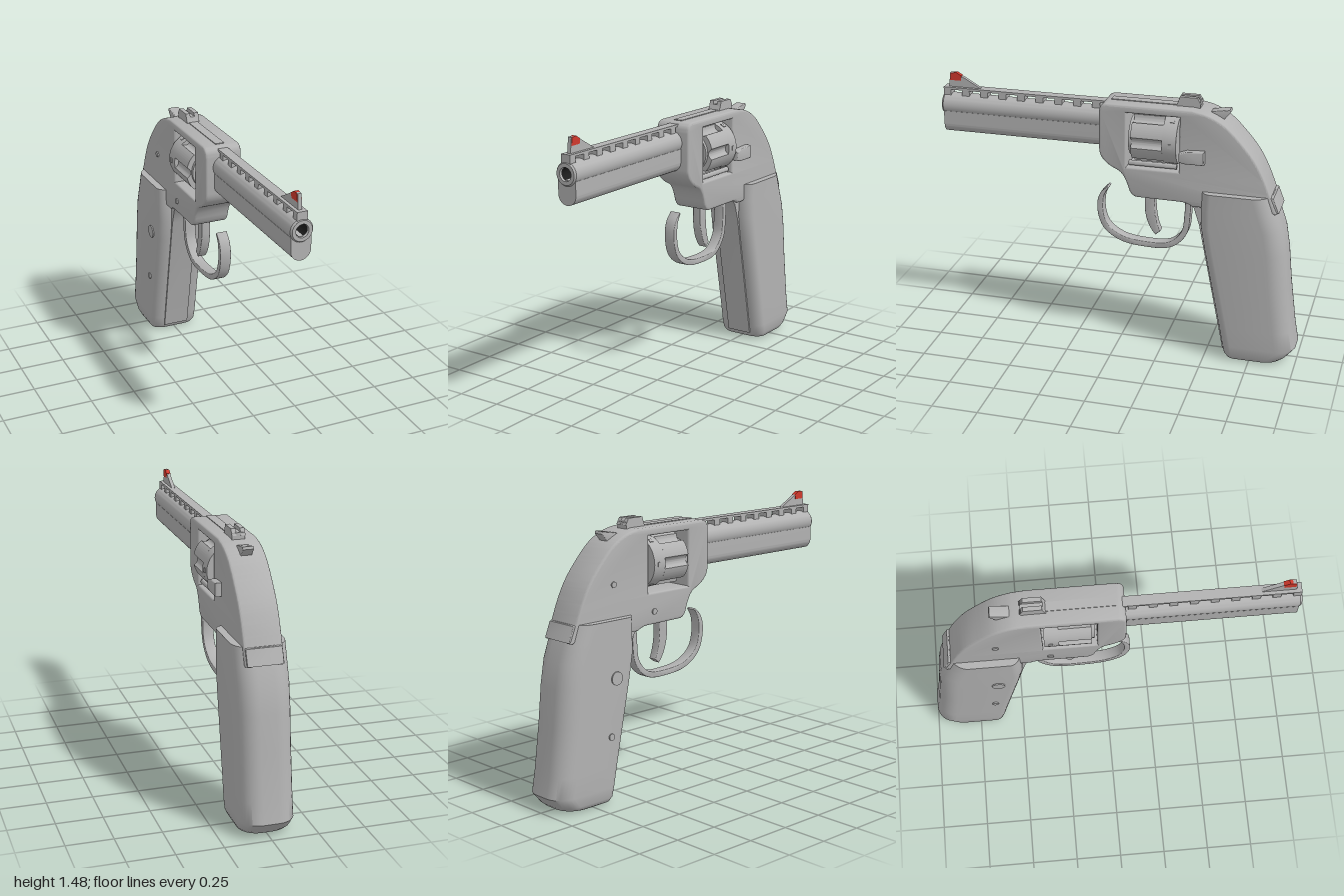
import * as THREE from 'three';
import { toCreasedNormals } from 'three/addons/utils/BufferGeometryUtils.js';

const steel = new THREE.MeshStandardMaterial({ color: 0xb2b2b2 });
steel.name = 'grey steel';
const red = new THREE.MeshStandardMaterial({ color: 0xd0382c });
red.name = 'sight red';
const dark = new THREE.MeshStandardMaterial({ color: 0x1c1c1c });
dark.name = 'bore black';

export function createModel() {
  const model = new THREE.Group();
  model.name = 'revolver';

  const add = (name, geo, mat = steel, crease = 0.6) => {
    const mesh = new THREE.Mesh(toCreasedNormals(geo, crease), mat);
    mesh.name = name;
    model.add(mesh);
    return mesh;
  };
  const shapeOf = (pts) => new THREE.Shape(pts.map(([z, y]) => new THREE.Vector2(z, y)));

  // Side profile in (z, y), extruded across x and centred on it
  const slab = (shape, width, bevel = 0) => {
    const geo = new THREE.ExtrudeGeometry(shape, {
      depth: width - 2 * bevel, bevelEnabled: bevel > 0, bevelSize: bevel,
      bevelThickness: bevel, bevelOffset: -bevel, bevelSegments: 3, curveSegments: 10,
    });
    geo.translate(0, 0, bevel - width / 2);
    return geo.rotateY(-Math.PI / 2);
  };
  const box = (name, w, h, d, x, y, z) =>
    add(name, new THREE.BoxGeometry(w, h, d).translate(x, y, z));
  // Cylinder lying along z
  const rod = (name, r, z0, z1, x, y, sides = 24) =>
    add(name, new THREE.CylinderGeometry(r, r, z1 - z0, sides)
      .rotateX(Math.PI / 2).translate(x, y, (z0 + z1) / 2));

  // Frame with the cylinder window cut through
  const frame = new THREE.Shape();
  frame.moveTo(0.05, 1.415);
  frame.lineTo(-0.4, 1.415);
  frame.splineThru([[-0.49, 1.395], [-0.58, 1.345], [-0.67, 1.255], [-0.74, 1.165],
    [-0.79, 1.07], [-0.836, 0.955], [-0.866, 0.885]].map((p) => new THREE.Vector2(...p)));
  frame.lineTo(-0.82, 0.88);
  frame.lineTo(-0.41, 0.88);
  frame.quadraticCurveTo(-0.38, 0.9, -0.34, 0.9);
  frame.lineTo(-0.11, 0.902);
  frame.quadraticCurveTo(-0.08, 0.905, -0.065, 0.94);
  frame.quadraticCurveTo(-0.04, 1.03, 0, 1.048);
  frame.quadraticCurveTo(0.1, 1.09, 0.1, 1.16);
  frame.lineTo(0.1, 1.36);
  frame.quadraticCurveTo(0.1, 1.415, 0.05, 1.415);
  frame.holes.push(new THREE.Path([[-0.05, 1.07], [-0.335, 1.07], [-0.335, 1.372],
    [-0.05, 1.372]].map((p) => new THREE.Vector2(...p))));
  add('frame', slab(frame, 0.204, 0.012));

  // Fluted cylinder: scalloped front part and a plain rear ring
  const R = 0.135, axisY = 1.222;
  const outline = [];
  for (let i = 0; i < 144; i++) {
    const a = (i / 144) * Math.PI * 2;
    const off = ((a + Math.PI / 6) % (Math.PI / 3)) - Math.PI / 6;
    const cut = Math.max(0, 1 - (off / 0.2) ** 2);
    const r = R - 0.024 * Math.sqrt(cut);
    outline.push(new THREE.Vector2(Math.cos(a) * r, Math.sin(a) * r));
  }
  add('flutedCylinder', new THREE.ExtrudeGeometry(new THREE.Shape(outline),
    { depth: 0.17, bevelEnabled: false }).translate(0, axisY, -0.25));
  rod('cylinderRear', R, -0.325, -0.249, 0, axisY, 48);
  rod('cylinderFrontCollar', R - 0.028, -0.081, -0.062, 0, axisY, 36);
  rod('cylinderPin', 0.03, -0.34, -0.045, 0, axisY);
  rod('craneRod', 0.014, -0.32, -0.06, 0.075, 1.09, 12);
  for (let i = 0; i < 6; i++) {
    const a = (i * Math.PI) / 3;
    const notch = box('stopNotch', 0.006, 0.024, 0.022, 0, 0, 0);
    notch.position.set(Math.cos(a) * R, axisY + Math.sin(a) * R, -0.292);
    notch.rotation.z = a;
  }

  // Cylinder release latch on the left side
  add('latch', slab(shapeOf([[-0.34, 1.14], [-0.34, 1.185], [-0.38, 1.2], [-0.475, 1.205],
    [-0.475, 1.132], [-0.37, 1.132]]), 0.045, 0.006).translate(0.114, 0, 0));

  // Barrel tube, dark bore and full-length underlug
  const lathe = (pts) => new THREE.LatheGeometry(pts.map((p) => new THREE.Vector2(...p)), 40)
    .rotateX(Math.PI / 2).translate(0, 1.306, 0);
  add('barrel', lathe([[0.061, 0.05], [0.061, 0.99], [0.054, 1], [0.035, 1], [0.033, 0.985]]));
  add('bore', lathe([[0.033, 0.988], [0.033, 0.9], [0, 0.9]]), dark);
  const lug = new THREE.Shape();
  lug.moveTo(-0.054, 1.275);
  lug.lineTo(-0.054, 1.203);
  lug.absarc(0, 1.203, 0.054, Math.PI, Math.PI * 2, false);
  lug.lineTo(0.054, 1.275);
  add('underlug', new THREE.ExtrudeGeometry(lug,
    { depth: 0.93, bevelEnabled: false, curveSegments: 20 }).translate(0, 0, 0.06));

  // Ventilated rib on a row of posts
  box('rib', 0.056, 0.013, 0.93, 0, 1.397, 0.53);
  for (let k = 0; k < 9; k++) box('ribPost', 0.056, 0.05, 0.042, 0, 1.372, 0.974 - 0.105 * k);

  // Front sight ramp with red insert
  add('frontSight', slab(shapeOf([[0.97, 1.4], [0.96, 1.482], [0.925, 1.482], [0.79, 1.405],
    [0.79, 1.4]]), 0.02));
  add('sightInsert', slab(shapeOf([[0.962, 1.44], [0.957, 1.48], [0.925, 1.484],
    [0.896, 1.467], [0.9, 1.44]]), 0.024), red);

  // Rear sight with a notch between two ears
  add('rearSightBase', slab(shapeOf([[-0.3, 1.41], [-0.315, 1.445], [-0.43, 1.445],
    [-0.43, 1.41]]), 0.07));
  for (const s of [-1, 1]) {
    add('rearSightEar', slab(shapeOf([[-0.31, 1.43], [-0.32, 1.465], [-0.415, 1.465],
      [-0.435, 1.43]]), 0.024).translate(s * 0.024, 0, 0));
  }
  // Low sighting strip along the top of the frame
  box('topStrip', 0.05, 0.006, 0.36, 0, 1.416, -0.13);

  // Hammer spur
  add('hammer', slab(shapeOf([[-0.44, 1.36], [-0.48, 1.395], [-0.53, 1.405], [-0.585, 1.414],
    [-0.59, 1.4], [-0.565, 1.37], [-0.53, 1.33]]), 0.06, 0.004));

  // Open-fronted trigger guard: a tapering band along a curve
  const path = new THREE.CatmullRomCurve3([[0.07, 0.915], [0.105, 0.865], [0.115, 0.78],
    [0.085, 0.685], [0, 0.622], [-0.13, 0.6], [-0.28, 0.613], [-0.355, 0.69], [-0.372, 0.8],
    [-0.375, 0.92]].map(([z, y]) => new THREE.Vector3(z, y, 0)));
  const outer = [], inner = [];
  for (let i = 0; i <= 48; i++) {
    const p = path.getPoint(i / 48), t = path.getTangent(i / 48);
    const h = 0.016 * Math.min(1, 0.35 + i / 12);
    outer.push([p.x + t.y * h, p.y - t.x * h]);
    inner.unshift([p.x - t.y * h, p.y + t.x * h]);
  }
  add('triggerGuard', slab(shapeOf([...outer, ...inner]), 0.062, 0.004));

  // Trigger
  const trigger = new THREE.Shape();
  trigger.moveTo(-0.135, 0.92);
  trigger.lineTo(-0.134, 0.82);
  trigger.quadraticCurveTo(-0.14, 0.72, -0.195, 0.66);
  trigger.lineTo(-0.222, 0.682);
  trigger.quadraticCurveTo(-0.18, 0.77, -0.193, 0.92);
  add('trigger', slab(trigger, 0.05, 0.004));

  // Grip: rounded sections [y, front z, back z, half width] stacked upwards
  const levels = [[0.004, -0.64, -0.9, 0.112], [0.014, -0.615, -0.925, 0.13],
    [0.035, -0.603, -0.95, 0.139], [0.09, -0.592, -0.995, 0.142], [0.2, -0.571, -0.975, 0.142],
    [0.45, -0.52, -0.942, 0.142], [0.65, -0.479, -0.922, 0.142], [0.78, -0.457, -0.9, 0.142],
    [0.88, -0.457, -0.865, 0.142], [0.975, -0.46, -0.832, 0.142]];
  const pos = [], idx = [], steps = 8, n = 4 * (steps + 1);
  for (const [y, zf, zb, w] of levels) {
    for (let q = 0; q < 4; q++) {
      const front = q < 2, rx = front ? 0.07 : 0.1, rz = front ? 0.055 : 0.1;
      const cx = (q === 0 || q === 3 ? 1 : -1) * (w - rx), cz = front ? zf - rz : zb + rz;
      for (let k = 0; k <= steps; k++) {
        const a = ((q + k / steps) * Math.PI) / 2;
        pos.push(cx + rx * Math.cos(a), y, cz + rz * Math.sin(a));
      }
    }
  }
  const last = (levels.length - 1) * n, low = levels.length * n;
  pos.push(0, levels[0][0], -0.77, 0, 0.975, -0.65);
  for (let k = 0; k < n; k++) {
    const m = (k + 1) % n;
    for (let r = 0; r < last; r += n) {
      idx.push(r + k, r + n + k, r + m, r + m, r + n + k, r + n + m);
    }
    idx.push(low, k, m, low + 1, last + m, last + k);
  }
  const grip = new THREE.BufferGeometry();
  grip.setAttribute('position', new THREE.Float32BufferAttribute(pos, 3));
  grip.setIndex(idx);
  add('grip', grip, steel, 0.75);

  // Front strap, and the lip where the frame ends over the grip
  add('frontStrap', slab(shapeOf([[-0.38, 0.9], [-0.415, 0.865], [-0.446, 0.77], [-0.594, 0.04],
    [-0.65, 0.04], [-0.55, 0.9]]), 0.146));
  add('backLip', slab(shapeOf([[-0.82, 0.975], [-0.842, 0.972], [-0.874, 0.89], [-0.84, 0.89]]),
    0.19, 0.005));

  // Screws on the right side: [y, z, face x, radius]
  for (const [y, z, x, r] of [[0.67, -0.6, 0.142, 0.036], [0.365, -0.64, 0.142, 0.018],
    [1.15, -0.58, 0.102, 0.016], [0.97, -0.3, 0.102, 0.016]]) {
    add('screw', new THREE.CylinderGeometry(r, r, 0.014, 20)
      .rotateZ(Math.PI / 2).translate(-x, y, z));
  }
  return model;
}
